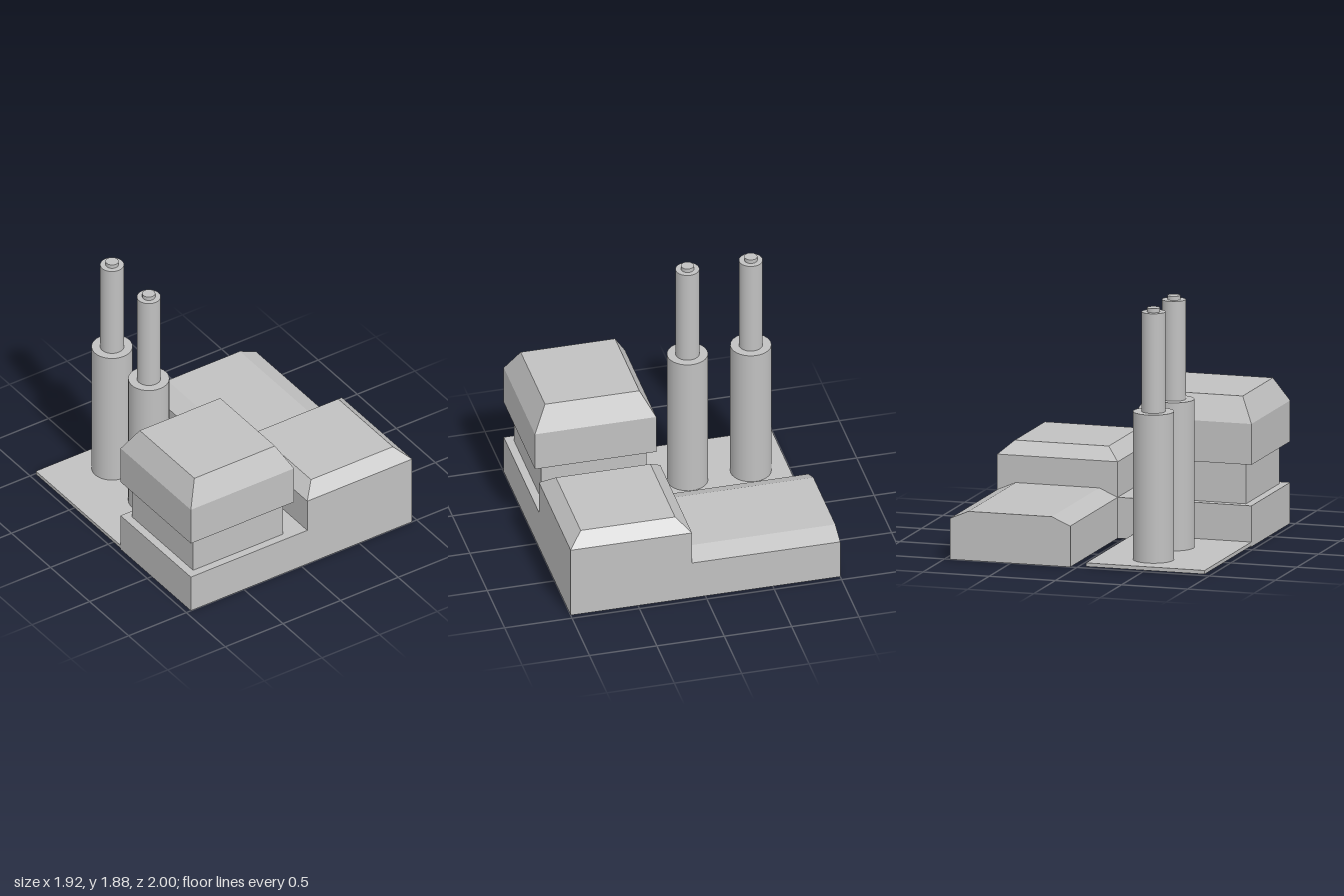
import * as THREE from 'three';
import { ConvexGeometry } from 'three/addons/geometries/ConvexGeometry.js';

export function createModel() {
  const model = new THREE.Group();
  model.name = 'factory';
  const grey = new THREE.MeshStandardMaterial({ color: 0xc0c0c0 });
  grey.name = 'concreteGrey';

  function add(name, geometry, parent = model) {
    const mesh = new THREE.Mesh(geometry, grey);
    mesh.name = name;
    parent.add(mesh);
    return mesh;
  }

  // Box given by its limits on each axis
  function block(name, x0, x1, y0, y1, z0, z1) {
    const mesh = add(name, new THREE.BoxGeometry(x1 - x0, y1 - y0, z1 - z0));
    mesh.position.set((x0 + x1) / 2, (y0 + y1) / 2, (z0 + z1) / 2);
  }

  // Box with sloped roof edges: walls up to yEave, roof inset by inX and inZ at yTop
  function hippedBlock(name, x0, x1, y0, yEave, yTop, z0, z1, inX, inZ) {
    const points = [];
    for (const [y, ix, iz] of [[y0, 0, 0], [yEave, 0, 0], [yTop, inX, inZ]]) {
      for (const x of [x0 + ix, x1 - ix]) {
        for (const z of [z0 + iz, z1 - iz]) points.push(new THREE.Vector3(x, y, z));
      }
    }
    add(name, new ConvexGeometry(points));
  }

  // Front slab carrying both halls
  block('frontBase', -0.96, 0.96, 0, 0.3, 0.1, 1);

  // Tall hall on a recessed neck
  block('tallHallNeck', -0.9, -0.12, 0.3, 0.6, 0.16, 0.94);
  hippedBlock('tallHall', -0.96, -0.065, 0.6, 0.9, 1.08, 0.1, 1, 0.098, 0.1);

  // Low hall with hipped roof
  hippedBlock('lowHall', 0.05, 0.96, 0.3, 0.56, 0.65, 0.1, 1, 0.1, 0.1);

  // Long rear shed, roof sloped along its two long sides only
  hippedBlock('rearShed', 0.05, 0.96, 0, 0.3, 0.36, -1, 0.1, 0.14, 0);

  // Thin yard plate under the chimneys
  block('yardPlate', -0.96, -0.065, 0.008, 0.035, -0.985, 0.1);

  // Two stepped chimneys: [name, radius, bottom, top]
  const sections = [
    ['chimneyFoot', 0.148, 0.03, 1.12],
    ['chimneyStack', 0.086, 1.12, 1.85],
    ['chimneyTip', 0.047, 1.85, 1.88],
  ];
  for (const z of [-0.24, -0.71]) {
    const chimney = new THREE.Group();
    chimney.name = 'chimney';
    chimney.position.set(-0.485, 0, z);
    for (const [name, r, y0, y1] of sections) {
      add(name, new THREE.CylinderGeometry(r, r, y1 - y0, 32), chimney).position.y = (y0 + y1) / 2;
    }
    model.add(chimney);
  }

  return model;
}
